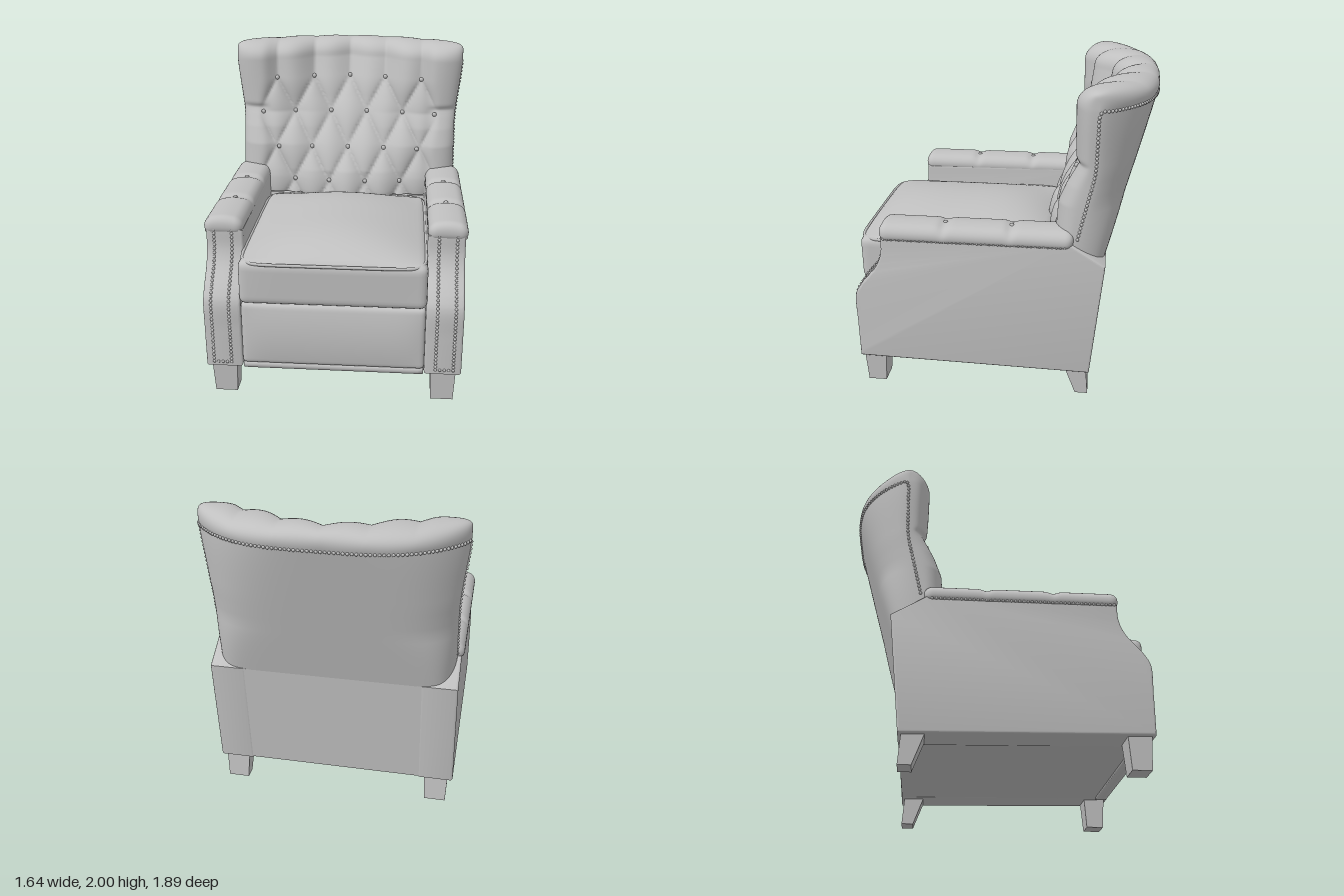
import * as THREE from 'three';
import { mergeGeometries, mergeVertices, toCreasedNormals } from 'three/addons/utils/BufferGeometryUtils.js';
import { ParametricGeometry } from 'three/addons/geometries/ParametricGeometry.js';

const { clamp, lerp, smoothstep } = THREE.MathUtils;
const V = (x, y, z) => new THREE.Vector3(x, y, z);

// Piecewise linear lookup through [y, value] pairs
function ramp(points, y) {
  for (let i = 1; i < points.length; i++) {
    const [y0, a] = points[i - 1], [y1, b] = points[i];
    if (y <= y1 || i === points.length - 1) return lerp(a, b, clamp((y - y0) / (y1 - y0), 0, 1));
  }
}

// Subdivided box with rounded edges and an optional shaping rule
function softBox(w, h, d, r, step, shape) {
  const g = new THREE.BoxGeometry(w, h, d, ...[w, h, d].map((s) => Math.ceil(s / step)));
  g.deleteAttribute('uv');
  g.deleteAttribute('normal');
  const p = g.attributes.position, v = V(), c = V();
  const inner = V(w / 2 - r, h / 2 - r, d / 2 - r), low = inner.clone().negate();
  for (let i = 0; i < p.count; i++) {
    v.fromBufferAttribute(p, i);
    c.copy(v).clamp(low, inner);
    v.sub(c);
    if (v.lengthSq() > 0) v.setLength(Math.max(Math.abs(v.x), Math.abs(v.y), Math.abs(v.z)));
    v.add(c);
    if (shape) shape(v);
    p.setXYZ(i, v.x, v.y, v.z);
  }
  const m = mergeVertices(g);
  m.computeVertexNormals();
  return m;
}

// Side profile of [z, y] points extruded across x
function slab(profile, width, bevel) {
  const g = new THREE.ExtrudeGeometry(new THREE.Shape(profile.map(([z, y]) => new THREE.Vector2(z, y))), {
    depth: width - 2 * bevel, bevelEnabled: bevel > 0, bevelSize: bevel, bevelThickness: bevel, bevelOffset: -bevel, bevelSegments: 3,
  });
  g.translate(0, 0, bevel - width / 2).rotateY(-Math.PI / 2);
  return toCreasedNormals(g, 0.6);
}

// Backrest outline: half width, rear shell depth and front padding depth
const halfWidth = (y) => 0.79 + 0.045 * smoothstep(y, 1.4, 1.95);
const shellX = (s, y) => s * (halfWidth(y) - 0.022 * Math.abs(s) ** 30);
function shellZ(s, y) {
  const mid = lerp(-0.645, -0.93, (y - 0.92) / 0.98);
  const side = ramp([[0.92, -0.42], [1.08, -0.47], [1.5, -0.565], [1.9, -0.575]], y);
  return lerp(mid, side, Math.abs(s) ** ramp([[0.92, 14], [1.3, 6], [1.9, 3.3]], y));
}
function frontZ(s, y) {
  const mid = ramp([[0.95, -0.24], [1.1, -0.275], [1.6, -0.535], [1.9, -0.675]], y);
  const side = ramp([[1.05, -0.32], [1.28, -0.34], [1.4, -0.385], [1.5, -0.44], [1.95, -0.43]], y);
  return lerp(mid, side, smoothstep(Math.abs(s), 0, 0.84));
}
// 0 in the diamond creases, 1 on the pillows
function tuft(x, y) {
  const t = (Math.min(y, 1.74) - 1.74) / 0.48, k = x / 0.26;
  const diamond = Math.sqrt(Math.abs(Math.sin(Math.PI * (k + t)) * Math.sin(Math.PI * (k - t))));
  const wing = 1 - 0.3 * Math.exp(-(((y - 1.53) / 0.02) ** 2));
  return lerp(diamond, wing, smoothstep(Math.abs(x), 0.55, 0.66));
}
function padPoint(s, y, angle, target) {
  const edge = Math.sqrt(Math.max(0, 1 - s ** 14)), h = tuft(s * halfWidth(y), y);
  const q = 0.5 + 0.5 * Math.sign(Math.cos(angle)) * Math.abs(Math.cos(angle)) ** 0.9;
  const back = shellZ(s, y), depth = frontZ(s, y) - back - 0.055 * (1 - h);
  const rise = Math.sin(angle) * (0.05 + 0.06 * edge + 0.01 * h);
  const overhang = 0.05 * Math.sin(angle) * (1 - q) * edge;
  return target.set(shellX(s, y), y + rise, back + depth * edge * q - overhang);
}

export function createModel() {
  const model = new THREE.Group();
  const upholstery = new THREE.MeshStandardMaterial({ color: 0xc0c0c0 });
  upholstery.name = 'grey upholstery';
  const add = (name, geometry, x = 0, y = 0, z = 0) => {
    const mesh = new THREE.Mesh(geometry, upholstery);
    mesh.name = name;
    mesh.position.set(x, y, z);
    model.add(mesh);
  };
  const studs = (name, points, r) => add(name, mergeGeometries(points.map((p) =>
    new THREE.SphereGeometry(r, 7, 5).translate(p.x, p.y, p.z))));
  const nails = [];
  const nailLine = (points) => {
    const path = new THREE.CatmullRomCurve3(points, false, 'centripetal');
    nails.push(...path.getSpacedPoints(Math.round(path.getLength() / 0.025)));
  };

  // Base between the arms
  add('seatBase', slab([[0.85, 0.2], [0.85, 0.64], [-0.3, 0.64], [-0.34, 0.918], [-0.643, 0.918], [-0.568, 0.18]], 1.16, 0));
  add('footrestPanel', softBox(1.13, 0.415, 0.1, 0.025, 0.0125, (v) => {
    if (v.z > 0) v.z += 0.022 * (1 - (v.y / 0.2075) ** 2) * (1 - (v.x / 0.565) ** 8);
  }), 0, 0.434, 0.86);
  add('bottomRail', softBox(1.13, 0.045, 0.08, 0.012, 0.04), 0, 0.205, 0.855);

  // Crowned seat cushion with piping
  add('seatCushion', softBox(1.14, 0.28, 1.23, 0.04, 0.02, (v) => {
    const X = v.x / 0.57, Z = v.z / 0.615, up = clamp((v.y + 0.14) / 0.28, 0, 1);
    v.y += 0.12 * (1 - X * X) * (1 - Math.abs(Z) ** 3.5) * up;
    if (v.z > 0) v.z += 0.018 * (1 - X ** 6) * up;
  }), 0, 0.785, 0.315);
  const piping = [];
  for (let i = 0; i < 64; i++) {
    const a = (i / 64) * Math.PI * 2, c = Math.cos(a), s = Math.sin(a);
    piping.push(V(0.562 * Math.sign(c) * Math.abs(c) ** 0.2, 0.918, 0.315 + 0.625 * Math.sign(s) * Math.abs(s) ** 0.2));
  }
  add('cushionPiping', new THREE.TubeGeometry(new THREE.CatmullRomCurve3(piping, true), 160, 0.011, 6, true));

  // Arms, arm pads and legs, mirrored
  const scroll = new THREE.CatmullRomCurve3(
    [[0.905, 0.2], [0.91, 0.45], [0.91, 0.64], [0.875, 0.71], [0.77, 0.84], [0.735, 0.93], [0.73, 1.05]].map(([z, y]) => V(0, y, z)),
    false, 'centripetal');
  const armProfile = [...scroll.getPoints(36).map((p) => [p.z, p.y]), [-0.41, 1.065], [-0.645, 0.918], [-0.57, 0.175]];
  const armButtons = [];
  for (const side of [1, -1]) {
    const name = side > 0 ? 'left' : 'right';
    add(name + 'Arm', slab(armProfile, 0.23, 0.014), side * 0.68);
    add(name + 'ArmPad', softBox(0.245, 0.11, 1.19, 0.05, 0.0125, (v) => {
      const z = v.z + 0.145, up = clamp((v.y + 0.055) / 0.11, 0, 1);
      for (const b of [0.34, -0.07]) v.y -= 0.014 * up * Math.exp(-(((z - b) / 0.03) ** 2));
      v.y += up * (0.01 - 0.025 * (v.x / 0.1225) ** 2);
    }), side * 0.688, 1.07, 0.145);
    for (const z of [0.34, -0.07]) armButtons.push(V(side * 0.685, 1.118, z));

    for (const x of [0.635, 0.745]) nailLine(scroll.getPoints(30).filter((p) => p.y > 0.225).map((p) => V(side * x, p.y, p.z)));
    nailLine([V(side * 0.635, 0.228, 0.905), V(side * 0.745, 0.228, 0.905)]);
    nailLine([V(side * 0.796, 1.035, 0.71), V(side * 0.796, 1.035, -0.4)]);

    // Straight tapered front leg, swept back leg
    for (const front of [true, false]) {
      const leg = new THREE.BoxGeometry(0.16, 0.22, 0.145, 1, 8, 1);
      const p = leg.attributes.position;
      for (let i = 0; i < p.count; i++) {
        const t = 0.5 - p.getY(i) / 0.22;
        p.setX(i, p.getX(i) * (1 - 0.13 * t));
        p.setZ(i, p.getZ(i) * (1 - (front ? 0.2 : 0.45) * t) - (front ? 0 : 0.05 * t));
      }
      leg.computeVertexNormals();
      add(name + (front ? 'FrontLeg' : 'BackLeg'), leg, side * 0.683, 0.11, front ? 0.815 : -0.475);
    }
  }
  studs('armButtons', armButtons, 0.016);

  // Tufted back padding, rolled over the top edge
  const split = 0.8;
  const pad = new ParametricGeometry((u, v, target) => {
    const s = Math.sin((u - 0.5) * Math.PI);
    const y = lerp(0.93, 1.88, Math.min(1, v / split));
    padPoint(s, y, Math.max(0, (v - split) / (1 - split)) * Math.PI, target);
  }, 168, 112);
  pad.computeVertexNormals();
  add('tuftedBack', pad);

  // Curved rear shell, flat where it meets the base
  const shell = new ParametricGeometry((u, v, target) => {
    const s = Math.sin((0.5 - u) * Math.PI), y = lerp(0.915, 1.885, v);
    target.set(shellX(s, y), y, shellZ(s, y));
  }, 72, 20);
  shell.computeVertexNormals();
  add('backShell', shell);

  // Buttons at the crease crossings
  const buttons = [];
  for (const [y, xs] of [[1.74, [0, 0.26, 0.52]], [1.5, [0.13, 0.39, 0.62]], [1.26, [0, 0.26, 0.5]], [1.03, [0.13, 0.38]]])
    for (const x of xs) for (const side of x ? [1, -1] : [1])
      buttons.push(padPoint((side * x) / halfWidth(y), y, 0, V()).add(V(0, 0, 0.008)));
  studs('backButtons', buttons, 0.016);

  // Nail trim around the shell
  const rim = (s, y) => V(shellX(s, y), y, shellZ(s, y) - 0.002);
  const trim = [];
  for (let i = 0; i <= 10; i++) trim.push(rim(-1, lerp(1.08, 1.84, i / 10)));
  for (let i = 1; i < 20; i++) trim.push(rim(Math.sin((i / 20 - 0.5) * Math.PI), 1.875));
  for (let i = 10; i >= 0; i--) trim.push(rim(1, lerp(1.08, 1.84, i / 10)));
  nailLine(trim);
  studs('nailTrim', nails, 0.01);

  return model;
}
